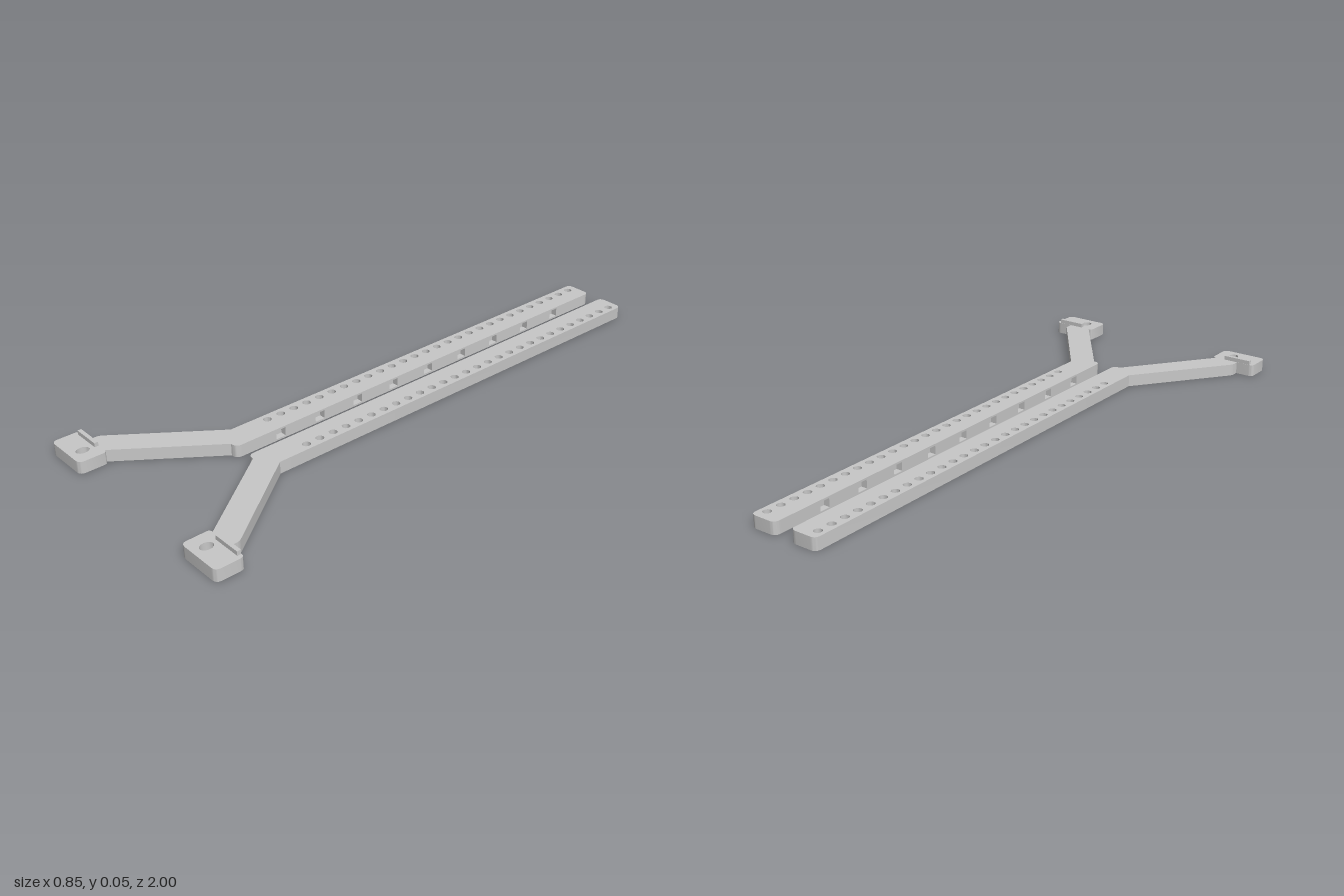
import * as THREE from 'three';
import { toCreasedNormals } from 'three/addons/utils/BufferGeometryUtils.js';

const H = 0.041; // plate thickness
const HOLES = 28, FIRST = -0.963, PITCH = 0.0518;

// Closed outline from [x, z, cornerRadius] points, mirrored by s
function roundedOutline(points, s) {
  const shape = new THREE.Shape();
  const P = points.map(([x, z]) => new THREE.Vector2(x * s, z));
  const n = P.length;
  P.forEach((p, i) => {
    const r = points[i][2];
    const toward = (q) => p.clone().add(q.clone().sub(p).setLength(r));
    const a = r ? toward(P[(i + n - 1) % n]) : p;
    if (i === 0) shape.moveTo(a.x, a.y); else shape.lineTo(a.x, a.y);
    if (r) {
      const b = toward(P[(i + 1) % n]);
      shape.quadraticCurveTo(p.x, p.y, b.x, b.y);
    }
  });
  shape.closePath();
  return shape;
}

// Elliptic hole, wound against the outline it cuts
function addHole(shape, s, x, y, rx, ry) {
  const hole = new THREE.Path();
  hole.absellipse(x * s, y, rx, ry, 0, Math.PI * 2, s > 0);
  shape.holes.push(hole);
}

// Rectangular hole centred on x, y
function addSlot(shape, x, y, w, h) {
  const corners = [[-1, -1], [-1, 1], [1, 1], [1, -1]];
  shape.holes.push(new THREE.Path(
    corners.map(([i, j]) => new THREE.Vector2(x + i * w / 2, y + j * h / 2))));
}

function extrude(shape, depth) {
  return new THREE.ExtrudeGeometry(shape, { depth, bevelEnabled: false, curveSegments: 8 });
}

function createArm(s, material) {
  const arm = new THREE.Group();
  arm.name = s > 0 ? 'leftArm' : 'rightArm';
  const add = (name, geometry) => {
    const mesh = new THREE.Mesh(toCreasedNormals(geometry, 0.5), material);
    mesh.name = name;
    arm.add(mesh);
  };

  // Flat bracket: straight bar, angled leg and foot; its inner edge is left open for the rail
  const plate = roundedOutline([
    [0.03, -1, 0.02], [0.123, -1, 0.02], [0.123, 0.556, 0],
    [0.362, 0.876, 0.012], [0.362, 0.905, 0],
    [0.425, 0.905, 0.015], [0.425, 1, 0.02], [0.265, 1, 0.02], [0.265, 0.905, 0.012],
    [0.278, 0.905, 0], [0.055, 0.604, 0], [0.03, 0.604, 0.022],
    [0.03, 0.56, 0], [0.052, 0.56, 0], [0.052, -0.97, 0], [0.03, -0.97, 0],
  ], s);
  for (let i = 0; i < HOLES; i++) addHole(plate, s, 0.097, FIRST + i * PITCH, 0.0135, 0.0135);
  addHole(plate, s, 0.321, 0.955, 0.017, 0.022);
  add('bracketPlate', extrude(plate, H).rotateX(Math.PI / 2).translate(0, H, 0));

  // Inner rail with shallow side pockets
  const rail = new THREE.Shape();
  rail.moveTo(-0.97, 0);
  rail.lineTo(0.56, 0);
  rail.lineTo(0.56, H);
  rail.lineTo(-0.97, H);
  rail.closePath();
  for (let i = 3; i < HOLES; i += 3) addSlot(rail, FIRST + i * PITCH, H / 2, 0.036, 0.029);
  add('innerRail', extrude(rail, 0.022).rotateY(-Math.PI / 2).translate(s > 0 ? 0.052 : -0.03, 0, 0));

  // Raised stop ridge along the back edge of the foot
  add('footRidge', new THREE.BoxGeometry(0.098, 0.016, 0.013).translate(0.361 * s, 0.047, 0.9125));
  return arm;
}

export function createModel() {
  const grey = new THREE.MeshStandardMaterial({ color: 0xc8c8c8 });
  grey.name = 'grey';
  const model = new THREE.Group();
  model.name = 'bracketPair';
  for (const s of [1, -1]) model.add(createArm(s, grey));
  return model;
}
